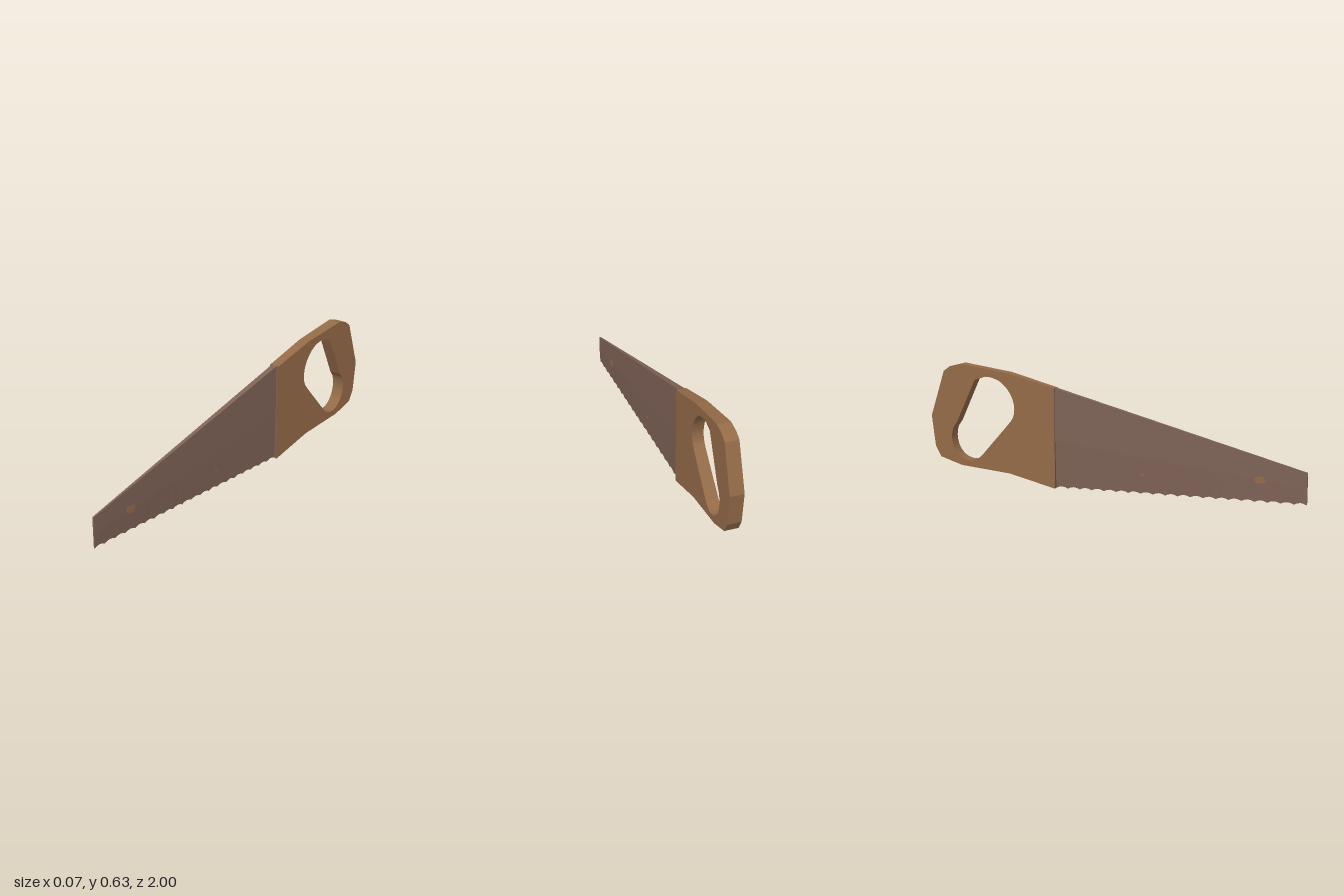
import * as THREE from 'three';

const lerp = THREE.MathUtils.lerp;
const JOINT = -0.31; // z where the blade meets the handle

const wood = new THREE.MeshStandardMaterial({ color: 0x946b48 });
wood.name = 'wood';
const steel = new THREE.MeshStandardMaterial({ color: 0x7e6256 });
steel.name = 'brown steel';

// Points are [distance towards the back, height]
const toVectors = (points) => points.map(([u, v]) => new THREE.Vector2(u, v));
const curve = (points) => new THREE.SplineCurve(toVectors(points)).getPoints(28);

function handleGeometry() {
  const shape = new THREE.Shape(toVectors([
    [0.31, 0], [0.56, 0.065], [0.83, 0.095], [0.95, 0.135], [0.98, 0.19], [1, 0.355],
    [0.925, 0.595], [0.89, 0.62], [0.83, 0.635], [0.565, 0.595], [0.31, 0.525],
  ]));
  // Grip opening: two rounded ends joined by straight sides
  const upper = curve([[0.565, 0.325], [0.537, 0.365], [0.53, 0.42], [0.548, 0.48],
    [0.585, 0.53], [0.63, 0.56], [0.69, 0.572], [0.75, 0.553]]);
  const lower = curve([[0.855, 0.325], [0.878, 0.29], [0.885, 0.235], [0.868, 0.178],
    [0.83, 0.137], [0.78, 0.123], [0.735, 0.137], [0.705, 0.165]]);
  shape.holes.push(new THREE.Path([...upper, ...lower]));

  const geometry = new THREE.ExtrudeGeometry(shape, { depth: 1, bevelEnabled: false });
  geometry.rotateY(Math.PI / 2);
  // The handle grows thicker towards the back
  const pos = geometry.attributes.position;
  for (let i = 0; i < pos.count; i++) {
    const t = (JOINT - pos.getZ(i)) / 0.69;
    pos.setX(i, pos.getX(i) < 0.5 ? lerp(-0.02, -0.037, t) : lerp(0.032, 0.035, t));
  }
  geometry.computeVertexNormals();
  return geometry;
}

// Side surfaces of the blade at t (0 = handle, 1 = tip)
const bladeLeft = (t) => lerp(0.022, 0.021, t);
const bladeRight = (t) => lerp(-0.012, 0.012, t);

function bladeGeometry() {
  const teeth = 20, steps = 4, columns = teeth * steps;
  const positions = [];
  const quad = (a, b, c, d) => positions.push(...a, ...b, ...c, ...a, ...c, ...d);
  // Six-cornered section, thinner below the middle, with a scalloped lower edge
  const section = (i) => {
    const t = i / columns;
    const z = lerp(JOINT, 1, t);
    const top = lerp(0.525, 0.162, t);
    const mid = top * 0.48;
    const bottom = 0.01 * Math.sin(Math.PI * (i % steps) / steps);
    return [
      [lerp(0.017, 0.018, t), bottom, z], [bladeLeft(t), mid, z], [bladeLeft(t), top, z],
      [bladeRight(t), top, z], [bladeRight(t), mid, z], [lerp(0.001, 0.012, t), bottom, z],
    ];
  };
  for (let i = 0; i < columns; i++) {
    const a = section(i), b = section(i + 1);
    for (let k = 0; k < 6; k++) {
      const n = (k + 1) % 6;
      quad(b[k], a[k], a[n], b[n]);
    }
  }
  // End caps
  const s = section(0), e = section(columns);
  quad(e[0], e[1], e[4], e[5]);
  quad(e[1], e[2], e[3], e[4]);
  quad(s[5], s[4], s[1], s[0]);
  quad(s[4], s[3], s[2], s[1]);
  const geometry = new THREE.BufferGeometry();
  geometry.setAttribute('position', new THREE.Float32BufferAttribute(positions, 3));
  geometry.computeVertexNormals();
  return geometry;
}

export function createModel() {
  const group = new THREE.Group();
  const add = (name, geometry, material) => {
    const mesh = new THREE.Mesh(geometry, material);
    mesh.name = name;
    group.add(mesh);
    return mesh;
  };

  add('handle', handleGeometry(), wood);
  add('blade', bladeGeometry(), steel);

  // Blade-coloured face on the front of the handle
  const plate = add('handleFrontFace', new THREE.BoxGeometry(0.052, 0.525, 0.003), steel);
  plate.position.set(0.006, 0.2625, JOINT + 0.0005);

  // Small wood-coloured spots on both blade sides
  for (const [z, y, r] of [[0.765, 0.112, 0.028], [0.16, 0.1, 0.011]]) {
    const t = (z - JOINT) / (1 - JOINT);
    const mid = lerp(0.525, 0.162, t) * 0.48;
    const k = Math.min(1, y / mid);
    const sides = [
      ['Left', lerp(lerp(0.017, 0.018, t), bladeLeft(t), k)],
      ['Right', lerp(lerp(0.001, 0.012, t), bladeRight(t), k)],
    ];
    for (const [side, x] of sides) {
      const spot = add('bladeSpot' + side, new THREE.CylinderGeometry(r, r, 0.003, 10), wood);
      spot.rotation.z = Math.PI / 2;
      spot.scale.z = 0.65; // shorter in height than in length
      spot.rotation.set(0, 0, Math.PI / 2);
      spot.scale.set(0.65, 1, 1);
      spot.position.set(x, y, z);
    }
  }
  return group;
}
